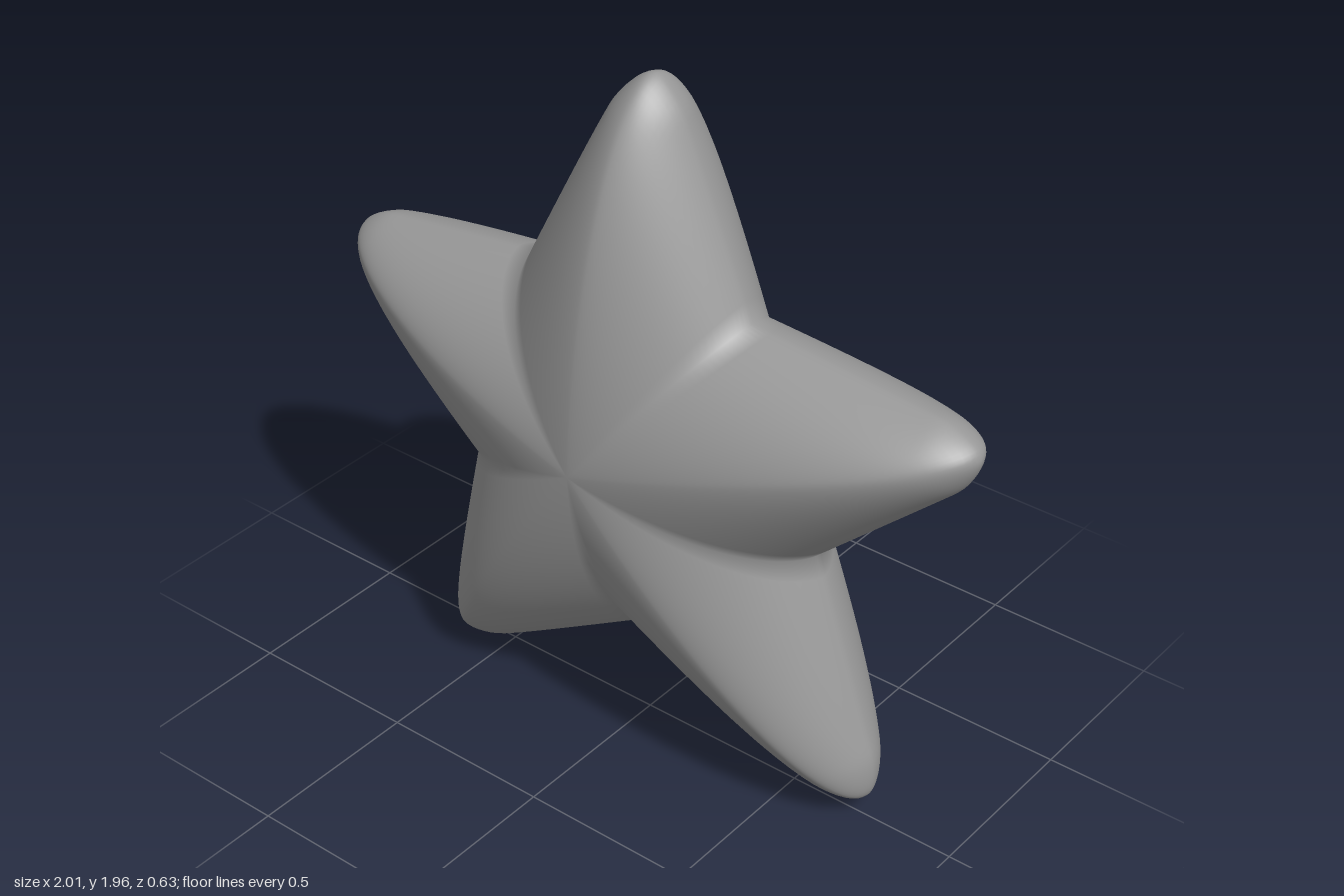
import * as THREE from 'three';

// Star centre, then tips and the notches that follow them, counter-clockwise
const CENTRE = [-0.02, 0.92];
const TIPS = [[0.01, 1.95], [-1.0, 1.19], [-0.645, 0.0], [0.735, 0.06], [1.0, 1.245]];
const NOTCHES = [[-0.385, 1.32], [-0.56, 0.69], [0.04, 0.33], [0.55, 0.76], [0.32, 1.355]];

// Standard half arm: s runs along the arm, d across it
const NOTCH_S = 0.41, NOTCH_W = 0.3;
const STEPS = 22, RINGS = 28;

function armWidth(s) {
  const cap = Math.max(0, (s - 0.9) / 0.1);
  return (NOTCH_W - 0.42 * (s - NOTCH_S)) * Math.sqrt(Math.max(0, 1 - cap * cap));
}

// Puffed thickness: a tapering ridge with a soft diamond cross-section
function thickness(s, d) {
  const ridge = 0.315 * Math.pow(Math.max(0, 1 - Math.pow(s, 1.9)), 0.53);
  const w = armWidth(s);
  const across = w > 1e-6 ? Math.min(1, d / w) : 0;
  return ridge * Math.pow(1 - Math.pow(across, 1.6), 1 / 1.6);
}

// Fit the standard half arm between the centre, a tip and a notch
function place(s, d, tip, notch) {
  const b = d / NOTCH_W, a = s - b * NOTCH_S;
  return [0, 1].map(k => CENTRE[k] + a * (tip[k] - CENTRE[k]) + b * (notch[k] - CENTRE[k]));
}

function starGeometry() {
  // Outline samples, closer together at the rounded tips
  const outline = [];
  TIPS.forEach((tip, i) => {
    for (let k = -STEPS; k < STEPS; k++) {
      const u = Math.abs(k) / STEPS;
      const s = 1 - (1 - NOTCH_S) * u * u;
      const notch = k < 0 ? NOTCHES[(i + 4) % 5] : NOTCHES[i];
      outline.push({ s, d: armWidth(s), tip, notch });
    }
  });

  // Front pole, rings out to the rim and back in, rear pole
  const n = outline.length, positions = [...CENTRE, 0.315], index = [];
  for (let m = 1; m < 2 * RINGS; m++) {
    const t = m === RINGS ? 1 : Math.sin(m * Math.PI / (2 * RINGS));
    for (const { s, d, tip, notch } of outline) {
      const z = m === RINGS ? 0 : thickness(s * t, d * t) * (m < RINGS ? 1 : -1);
      positions.push(...place(s * t, d * t, tip, notch), z);
    }
  }
  positions.push(...CENTRE, -0.315);
  const last = positions.length / 3 - 1;
  const at = (m, j) => 1 + (m - 1) * n + (j % n);
  for (let j = 0; j < n; j++) {
    index.push(0, at(1, j), at(1, j + 1));
    for (let m = 1; m < 2 * RINGS - 1; m++) {
      const a = at(m, j), b = at(m + 1, j), c = at(m + 1, j + 1), d = at(m, j + 1);
      index.push(a, b, c, a, c, d);
    }
    index.push(at(2 * RINGS - 1, j), last, at(2 * RINGS - 1, j + 1));
  }

  const geometry = new THREE.BufferGeometry();
  geometry.setAttribute('position', new THREE.Float32BufferAttribute(positions, 3));
  geometry.setIndex(index);
  geometry.computeVertexNormals();
  return geometry;
}

export function createModel() {
  const group = new THREE.Group();
  group.name = 'star';
  const grey = new THREE.MeshStandardMaterial({ color: 0x999999 });
  grey.name = 'grey';
  const body = new THREE.Mesh(starGeometry(), grey);
  body.name = 'starBody';
  // Rest the lowest tip on the ground
  body.geometry.computeBoundingBox();
  body.position.y = -body.geometry.boundingBox.min.y;
  group.add(body);
  return group;
}
